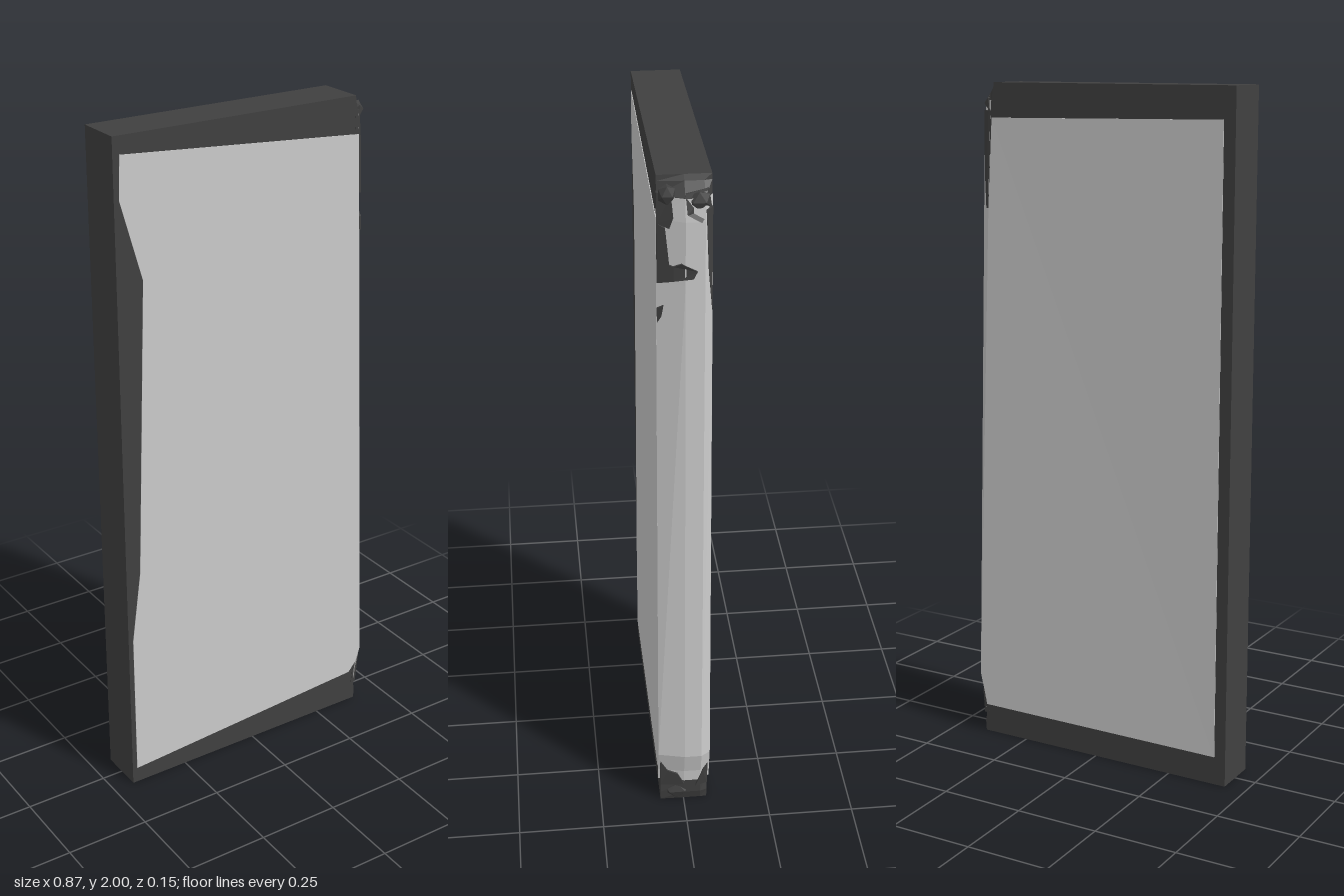
import * as THREE from 'three';

const light = new THREE.MeshStandardMaterial({ color: 0xcccccc, flatShading: true, side: THREE.DoubleSide });
const dark = new THREE.MeshStandardMaterial({ color: 0x404040, flatShading: true });

// Worn edge by height: [y, x at the faces, x at the crest]
const EDGE = [
  [0, 0.398, 0.402], [0.03, 0.4, 0.41], [0.08, 0.392, 0.411], [0.12, 0.396, 0.414], [0.19, 0.412, 0.43],
  [1.72, 0.355, 0.386], [1.89, 0.348, 0.38], [1.95, 0.343, 0.373], [1.985, 0.337, 0.345], [2, 0.335, 0.338],
];

// Panel surfaces swell slightly toward the lower worn corner
const faceZ = (x, y) => 0.0715 + 0.006 * ((x + 0.43) / 0.86) * (1 - y / 2);

// Skin a stack of cross-sections, optionally closed and capped
function loft(rings, closed) {
  const pos = [];
  const tri = (...p) => p.forEach((v) => pos.push(...v));
  const n = rings[0].length;
  for (let r = 0; r < rings.length - 1; r++) {
    for (let i = 0; i < (closed ? n : n - 1); i++) {
      const j = (i + 1) % n;
      const [a, b, c, d] = [rings[r][i], rings[r][j], rings[r + 1][j], rings[r + 1][i]];
      tri(a, b, c);
      tri(a, c, d);
    }
  }
  if (closed) {
    const top = rings[rings.length - 1], low = rings[0];
    for (let i = 1; i < n - 1; i++) {
      tri(top[0], top[i], top[i + 1]);
      tri(low[0], low[i + 1], low[i]);
    }
  }
  const g = new THREE.BufferGeometry();
  g.setAttribute('position', new THREE.Float32BufferAttribute(pos, 3));
  g.computeVertexNormals();
  return g;
}

const shapeOf = (pts) => new THREE.Shape(pts.map(([a, b]) => new THREE.Vector2(a, b)));

// Thin plate following the front (+1) or back (-1) surface
function plate(pts, side) {
  const g = new THREE.ExtrudeGeometry(shapeOf(pts), { depth: 0.01, bevelEnabled: false });
  const p = g.attributes.position;
  for (let i = 0; i < p.count; i++) {
    const inset = side > 0 ? 0.01 - p.getZ(i) : p.getZ(i);
    p.setZ(i, side * (faceZ(p.getX(i), p.getY(i)) - inset));
  }
  g.computeVertexNormals();
  return g;
}

// Position of the worn edge's surface at a height and depth
function edgeX(y, z) {
  let k = 0;
  while (k < EDGE.length - 2 && EDGE[k + 1][0] < y) k++;
  const [a, b] = [EDGE[k], EDGE[k + 1]];
  const t = (y - a[0]) / (b[0] - a[0]);
  const xf = a[1] + (b[1] - a[1]) * t, xo = a[2] + (b[2] - a[2]) * t;
  const f = z > 0 ? z / 0.073 : Math.max(0, (-z - 0.05) / 0.023);
  return xo + (xf - xo) * Math.min(1, f);
}

// Chipped patch lying on the worn edge, outlined in (z, y)
function chip(pts) {
  const g = new THREE.ExtrudeGeometry(shapeOf(pts.map(([z, y]) => [-z, y])), { depth: 0.016, bevelEnabled: false });
  g.rotateY(Math.PI / 2);
  const p = g.attributes.position;
  for (let i = 0; i < p.count; i++) {
    p.setX(i, edgeX(p.getY(i), p.getZ(i)) + p.getX(i) - 0.01);
  }
  g.computeVertexNormals();
  return g;
}

export function createModel() {
  const group = new THREE.Group();
  const add = (name, geometry, material) => {
    const m = new THREE.Mesh(geometry, material);
    m.name = name;
    group.add(m);
    return m;
  };

  // Dark slab with one broken upright edge
  const section = ([y, xf, xo]) => [
    [-0.435, y, 0.07], [xf, y, 0.07], [xo - 0.003, y, 0], [xo - 0.003, y, -0.05], [xf, y, -0.07], [-0.435, y, -0.07],
  ];
  add('slabCore', loft(EDGE.map(section), true), dark);

  // Pale faces
  add('frontPanel', plate([
    [-0.42, 0.05], [0.3, 0.105], [0.37, 0.11], [0.396, 0.14], [0.412, 0.19], [0.348, 1.89], [-0.415, 1.95],
    [-0.42, 1.83], [-0.355, 1.6], [-0.39, 0.72], [-0.42, 0.5],
  ], 1), light);
  add('backPanel', plate([
    [-0.4, 0.085], [0.39, 0.09], [0.396, 0.12], [0.412, 0.19], [0.358, 1.65], [0.343, 1.9], [-0.4, 1.91],
  ], -1), light);

  // Pale skin of the worn edge
  const skin = EDGE.slice(2, 8).map(([y, xf, xo]) => [
    [xf, y, faceZ(xf, y)], [xo, y, 0], [xo, y, -0.05], [xf, y, -faceZ(xf, y)],
  ]);
  add('wornEdge', loft(skin, false), light);

  // Dark chips along the worn edge
  [
    [[0.071, 1.96], [0.035, 1.955], [0.03, 1.9], [0.04, 1.87], [0.071, 1.88]],
    [[0.0, 1.96], [-0.06, 1.97], [-0.068, 1.92], [-0.04, 1.89], [-0.005, 1.91]],
    [[0.071, 1.78], [0.03, 1.77], [0.01, 1.78], [-0.03, 1.76], [-0.02, 1.74], [0.03, 1.73], [0.071, 1.72]],
    [[0.071, 1.88], [0.05, 1.87], [0.04, 1.77], [0.071, 1.77]],
    [[0.071, 1.65], [0.055, 1.66], [0.06, 1.63], [0.071, 1.61]],
    [[-0.052, 1.92], [-0.06, 1.75], [-0.071, 1.64], [-0.071, 1.92]],
    [[0.071, 0.16], [0.05, 0.12], [0.02, 0.11], [0.0, 0.07], [0.071, 0.06]],
    [[-0.035, 0.06], [-0.055, 0.12], [-0.071, 0.14], [-0.071, 0.06]],
  ].forEach((pts, i) => add(`edgeChip${i + 1}`, chip(pts), dark));

  // Rubble nubs at the corners
  [
    [0.388, 0.035, 0.02, 0.028, 0.035, 0.045],
    [0.36, 1.94, -0.035, 0.024, 0.03, 0.032],
    [0.352, 1.955, 0.045, 0.022, 0.028, 0.025],
  ].forEach(([x, y, z, sx, sy, sz], i) => {
    const nub = add(`cornerNub${i + 1}`, new THREE.IcosahedronGeometry(1, 0), dark);
    nub.position.set(x, y, z);
    nub.scale.set(sx, sy, sz);
  });

  return group;
}
